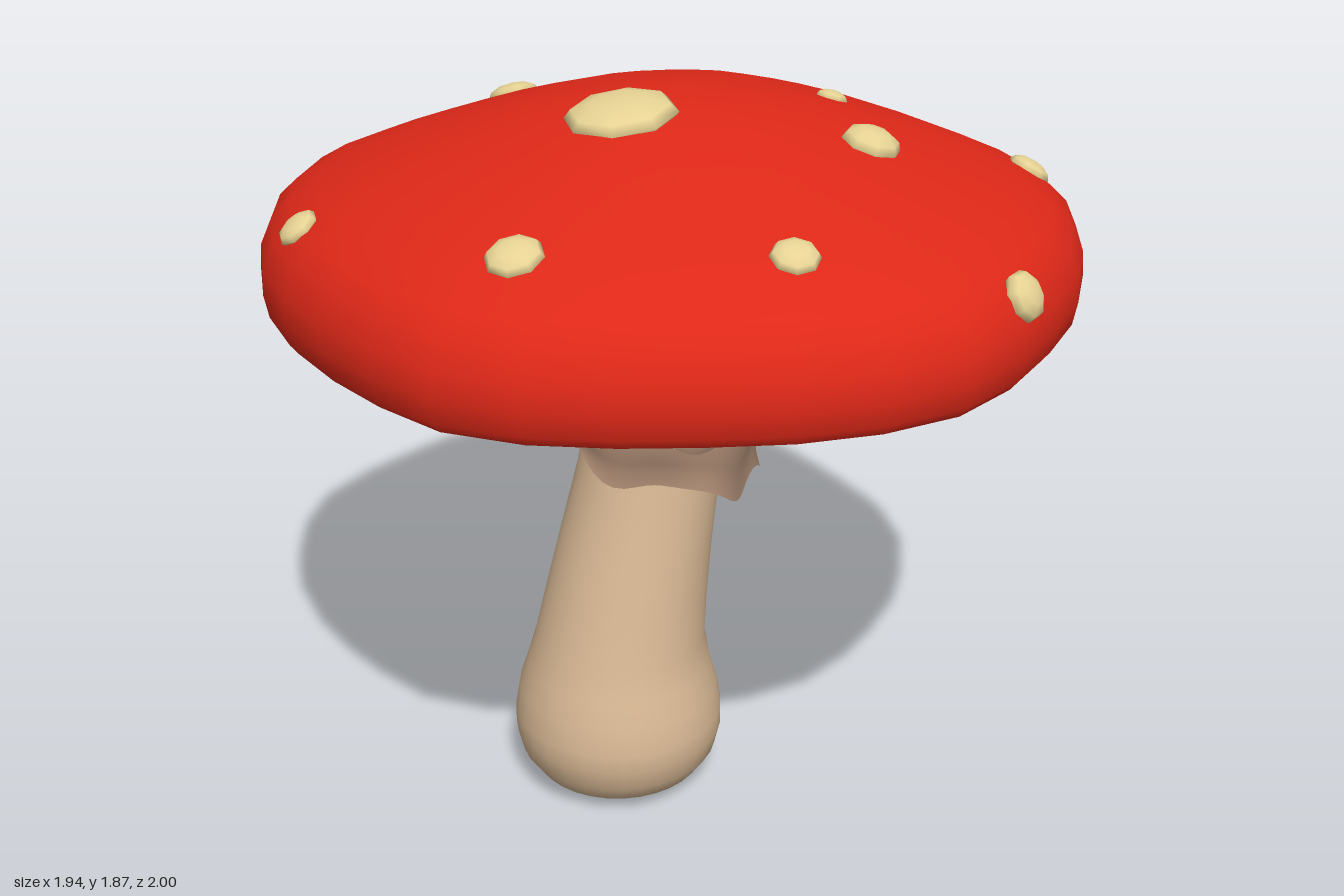
import * as THREE from 'three';
import { mergeVertices } from 'three/addons/utils/BufferGeometryUtils.js';

const TAU = Math.PI * 2;

// Radius of the lopsided cap outline, clockwise from the back
const OUTLINE = [
  1.0, 1.01, 1.01, 1.01, 1.025, 1.04, 1.025, 0.99, 0.966, 0.965, 0.99, 0.995, 0.98, 0.975, 0.97, 0.985,
  1.0, 0.985, 0.965, 0.95, 0.96, 0.985, 1.0, 0.978, 0.968, 0.973, 0.985, 0.995, 1.015, 1.025, 1.0, 0.985,
];
function outline(a) {
  const f = (((a / TAU) % 1 + 1) % 1) * OUTLINE.length;
  const i = Math.floor(f) % OUTLINE.length;
  return THREE.MathUtils.lerp(OUTLINE[i], OUTLINE[(i + 1) % OUTLINE.length], f - Math.floor(f));
}

// Skin over closed rings; point(ring, angle, column) returns [x, y, z]
function loft(rings, sides, point) {
  const pos = [], index = [];
  for (let i = 0; i < rings; i++) {
    for (let j = 0; j < sides; j++) pos.push(...point(i, (j / sides) * TAU, j));
  }
  for (let i = 0; i < rings - 1; i++) {
    for (let j = 0; j < sides; j++) {
      const a = i * sides + j, b = i * sides + (j + 1) % sides;
      index.push(b, a, a + sides, b, a + sides, b + sides);
    }
  }
  let geo = new THREE.BufferGeometry();
  geo.setAttribute('position', new THREE.Float32BufferAttribute(pos, 3));
  geo.setIndex(index);
  geo = mergeVertices(geo, 1e-5);
  geo.computeVertexNormals();
  return geo;
}

const polar = (r, y, a, cx = 0, cz = 0) => [cx + r * Math.sin(a), y, cz - r * Math.cos(a)];

// Cap profile from rim to crown: [fraction of outline, height]
const CAP = [
  [0.97, 1.34], [0.99, 1.365], [1, 1.42], [0.995, 1.48], [0.965, 1.545], [0.92, 1.587],
  [0.85, 1.628], [0.76, 1.665], [0.65, 1.706], [0.5, 1.753], [0.34, 1.8], [0.17, 1.826], [0, 1.85],
];
function capHeight(x, z) {
  const f = Math.hypot(x, z) / outline(Math.atan2(x, -z));
  for (let i = 3; i < CAP.length; i++) {
    const [f0, y0] = CAP[i - 1], [f1, y1] = CAP[i];
    if (f >= f1) return y0 + (y1 - y0) * Math.min(1, Math.max(0, (f0 - f) / (f0 - f1)));
  }
  return 1.85;
}

// Stem rings: [radius, height, centre x]
const STEM = [
  [0, 0, -0.17], [0.1, 0.003, -0.17], [0.17, 0.018, -0.17], [0.222, 0.048, -0.17], [0.258, 0.1, -0.17],
  [0.272, 0.16, -0.17], [0.272, 0.21, -0.17], [0.26, 0.28, -0.17], [0.24, 0.345, -0.168],
  [0.222, 0.42, -0.162], [0.21, 0.54, -0.14], [0.198, 0.68, -0.11], [0.183, 0.88, -0.063],
  [0.176, 1.05, -0.035], [0.18, 1.29, -0.02],
];

// Spots on the cap: [x, z, radius, thickness]
const SPOTS = [
  [-0.195, 0.055, 0.135, 0.04], [0.06, -0.78, 0.072, 0.032], [0.873, -0.41, 0.037, 0.02],
  [-0.845, -0.3, 0.053, 0.024], [0.41, 0.1, 0.041, 0.02], [0.25, 0.41, 0.072, 0.038],
  [-0.68, 0.34, 0.066, 0.028], [0.755, 0.445, 0.056, 0.026], [-0.23, 0.7, 0.056, 0.026],
  [0.226, 0.922, 0.06, 0.034],
];

export function createModel() {
  const group = new THREE.Group();
  const material = (name, color, options = {}) => {
    const m = new THREE.MeshStandardMaterial({ color, ...options });
    m.name = name;
    return m;
  };
  const red = material('capRed', 0xde2818);
  const tan = material('stemTan', 0xd8b894);
  const brown = material('skirtBrown', 0xa6866f, { side: THREE.DoubleSide });
  const straw = material('gillStraw', 0xdeba72, { flatShading: true, side: THREE.DoubleSide });
  const cream = material('spotCream', 0xe6d293);
  const add = (name, geo, mat, parent = group) => {
    const mesh = new THREE.Mesh(geo, mat);
    mesh.name = name;
    parent.add(mesh);
    return mesh;
  };

  // Cap and its inward lip
  add('cap', loft(CAP.length, 32, (i, a) => polar(CAP[i][0] * outline(a), CAP[i][1], a)), red);
  const lip = [[0.83, 1.45], [0.86, 1.41], [0.92, 1.36], [0.97, 1.34]];
  add('capLip', loft(lip.length, 32, (i, a) => polar(lip[i][0] * outline(a), lip[i][1], a)), red);

  // Softly pleated gills: [radius, height, pleat depth]
  const gills = [[0.16, 1.24, 0], [0.21, 1.257, 0.003], [0.47, 1.345, 0.011], [0.865, 1.42, 0.009]];
  add('gills', loft(gills.length, 44, (i, a, j) => {
    const [r, y, d] = gills[i];
    const blend = THREE.MathUtils.lerp(1, outline(a), i / 3);
    const depth = d * (1 + 0.4 * Math.sin(j * 2.3));
    return polar(r * blend, y + (j % 2 ? depth : -depth), a, i < 2 ? -0.02 : 0);
  }), straw);

  // Leaning stem with a bulbous foot
  add('stem', loft(STEM.length, 32, (i, a) => polar(STEM[i][0], STEM[i][1], a, STEM[i][2], -0.023)), tan);

  // Two ragged skirts: wave and tilt grow towards the hem
  const skirt = (name, rings, tilt, lobes, phase) => add(name, loft(rings.length, 60, (i, a) => {
    const t = (i / (rings.length - 1)), grow = (1 - t) ** 1.5;
    const wave = 0.022 * Math.sin(lobes * a + phase) + 0.008 * Math.sin((lobes + 3) * a + 1);
    const r = rings[i][0] + grow * 0.014 * Math.sin(lobes * a + phase + 1.6);
    const y = rings[i][1] + grow * (wave - tilt * Math.sin(a) + 0.02 * Math.cos(a));
    return polar(r, y, a, -0.022, -0.023);
  }), brown);
  skirt('upperSkirt', [[0.272, 1.045], [0.282, 1.07], [0.272, 1.11], [0.243, 1.155], [0.215, 1.195], [0.195, 1.23], [0.188, 1.28]], 0.03, 5, 0.4);
  skirt('lowerSkirt', [[0.243, 0.89], [0.236, 0.92], [0.238, 0.96], [0.246, 1.0], [0.24, 1.04], [0.215, 1.08], [0.18, 1.12]], 0.05, 5, 2.6);

  // Raised spots lying along the cap surface
  const spots = new THREE.Group();
  spots.name = 'spots';
  group.add(spots);
  const up = new THREE.Vector3(0, 1, 0), e = 0.03;
  SPOTS.forEach(([x, z, r, thickness], k) => {
    const normal = new THREE.Vector3(
      capHeight(x - e, z) - capHeight(x + e, z), 2 * e, capHeight(x, z - e) - capHeight(x, z + e)).normalize();
    const geo = new THREE.SphereGeometry(1, 8, 6);
    geo.rotateY(k * 1.3);
    const spot = add('spot', geo, cream, spots);
    spot.scale.set(r, thickness, r * 0.98);
    spot.position.set(x, capHeight(x, z), z);
    spot.quaternion.setFromUnitVectors(up, normal);
  });

  return group;
}
